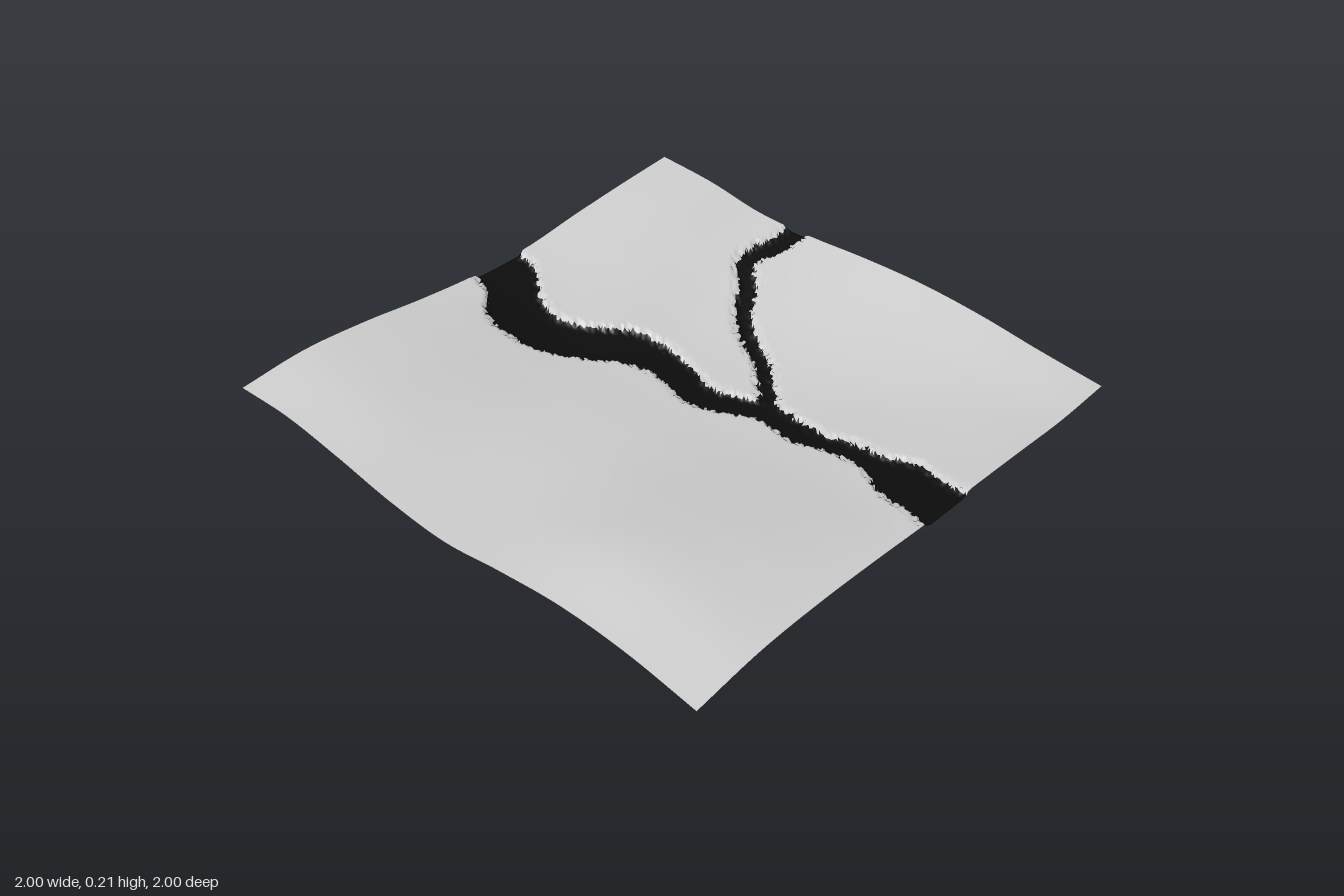
import * as THREE from 'three';

const SEG = 200; // cells per side of the ground sheet
const DEPTH = 0.018; // how far the channel is sunk below the banks

// ground heights every 0.25 units: rows run z = -1..1, columns x = -1..1
const HEIGHTS = [
  [0.145, 0.165, 0.15, 0.12, 0.1, 0.1, 0.13, 0.155, 0.175],
  [0.16, 0.175, 0.155, 0.12, 0.085, 0.09, 0.115, 0.14, 0.16],
  [0.14, 0.15, 0.13, 0.095, 0.065, 0.07, 0.085, 0.105, 0.125],
  [0.11, 0.11, 0.1, 0.075, 0.045, 0.03, 0.045, 0.08, 0.125],
  [0.105, 0.105, 0.095, 0.07, 0.038, 0.02, 0.03, 0.075, 0.14],
  [0.15, 0.155, 0.13, 0.09, 0.05, 0.032, 0.04, 0.08, 0.145],
  [0.185, 0.21, 0.18, 0.13, 0.085, 0.06, 0.05, 0.075, 0.13],
  [0.185, 0.21, 0.19, 0.15, 0.105, 0.085, 0.07, 0.07, 0.1],
  [0.155, 0.18, 0.175, 0.155, 0.13, 0.115, 0.095, 0.075, 0.075],
];

// x of the two river banks every 0.1 units, z = -1..1
const LEFT_BANK = [0, -0.03, -0.12, -0.155, -0.15, -0.12, -0.05, 0.04, 0.08, 0.07, 0.045,
  0.07, 0.12, 0.13, 0.1, 0.12, 0.13, 0.11, 0.05, 0.03, 0];
const RIGHT_BANK = [0.21, 0.19, 0.12, 0.06, 0.05, 0.1, 0.19, 0.22, 0.22, 0.2, 0.165,
  0.19, 0.235, 0.22, 0.2, 0.2, 0.22, 0.22, 0.25, 0.22, 0.21];

// centre line of the side stream, from the fork to the edge
const STREAM = [[0.19, 0.26], [0.28, 0.15], [0.38, 0.05], [0.44, -0.05], [0.5, -0.14],
  [0.58, -0.21], [0.68, -0.28], [0.74, -0.35], [0.81, -0.355], [0.9, -0.33], [1.03, -0.31]];

// smooth interpolation through evenly spaced values, t = 0..1
function sample(values, t) {
  const last = values.length - 1;
  const i = Math.min(Math.floor(t * last), last - 1);
  const f = t * last - i;
  const b = values[i], c = values[i + 1];
  const a = i > 0 ? values[i - 1] : 2 * b - c;
  const d = i + 2 <= last ? values[i + 2] : 2 * c - b;
  return b + 0.5 * f * (c - a + f * (2 * a - 5 * b + 4 * c - d + f * (3 * (b - c) + d - a)));
}

// repeatable noise, -1..1
function noise(i, j) {
  const s = Math.sin(i * 127.1 + j * 311.7) * 43758.5453;
  return 2 * (s - Math.floor(s)) - 1;
}

const streamPoints = new THREE.CatmullRomCurve3(
  STREAM.map(([x, z]) => new THREE.Vector3(x, 0, z))).getPoints(120);

// signed distance to the water's edge, negative over the water
function shoreDistance(x, z) {
  const t = (z + 1) / 2;
  let best = Math.max(sample(LEFT_BANK, t) - x, x - sample(RIGHT_BANK, t));
  if (x > 0.1 && z < 0.4 && z > -0.5) {
    streamPoints.forEach((p, k) => {
      const halfWidth = 0.024 + 0.024 * (k / 120) ** 2;
      best = Math.min(best, Math.hypot(x - p.x, z - p.z) - halfWidth);
    });
  }
  return best;
}

export function createModel() {
  const sheet = new THREE.PlaneGeometry(2, 2, SEG, SEG).rotateX(-Math.PI / 2);
  const pos = sheet.attributes.position;
  const shore = [];
  let lowest = Infinity;

  // shape the hills, then sink the ragged channel
  for (let v = 0; v < pos.count; v++) {
    const x = pos.getX(v), z = pos.getZ(v);
    const column = HEIGHTS.map((row) => sample(row, (x + 1) / 2));
    const ragged = 0.014 * noise(v % (SEG + 1), Math.floor(v / (SEG + 1)));
    shore[v] = shoreDistance(x, z) + ragged;
    const sink = 1 - THREE.MathUtils.smoothstep(shore[v], -0.015, 0.022);
    const y = sample(column, (z + 1) / 2) - DEPTH * sink;
    pos.setY(v, y);
    lowest = Math.min(lowest, y);
  }
  sheet.translate(0, -lowest, 0);
  sheet.computeVertexNormals();

  // sort the triangles into land and water
  const land = [], water = [];
  const index = sheet.index.array;
  for (let i = 0; i < index.length; i += 3) {
    const tri = [index[i], index[i + 1], index[i + 2]];
    const mean = (shore[tri[0]] + shore[tri[1]] + shore[tri[2]]) / 3;
    (mean < 0 ? water : land).push(...tri);
  }

  const group = new THREE.Group();
  group.name = 'terrain';
  const addPart = (name, triangles, color) => {
    const geometry = new THREE.BufferGeometry();
    geometry.setAttribute('position', pos);
    geometry.setAttribute('normal', sheet.attributes.normal);
    geometry.setIndex(triangles);
    const material = new THREE.MeshStandardMaterial({ color, side: THREE.DoubleSide });
    const mesh = new THREE.Mesh(geometry, material);
    mesh.name = name;
    group.add(mesh);
  };
  addPart('land', land, 0xcccccc);
  addPart('river', water, 0x0c0c0c);
  return group;
}
